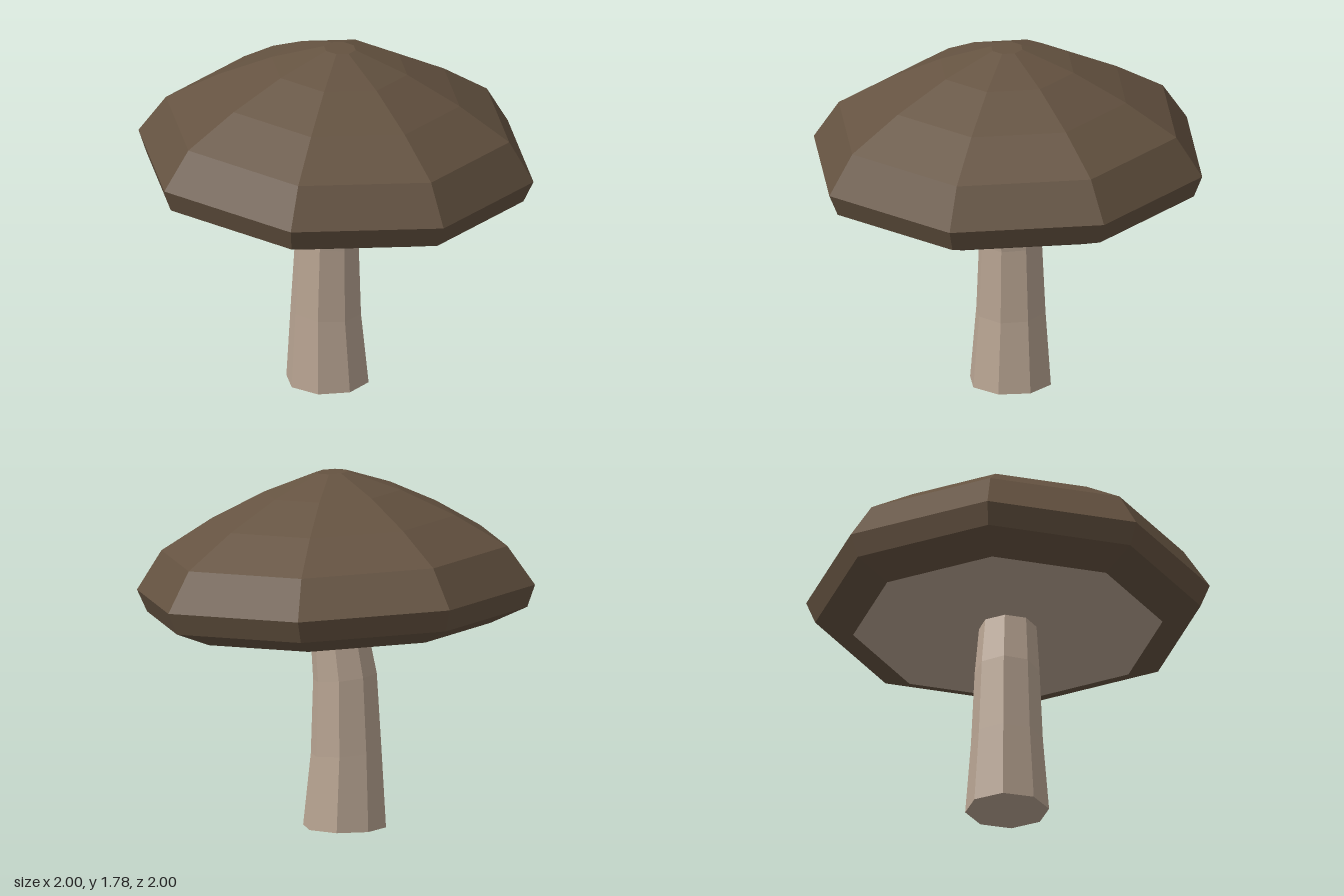
import * as THREE from 'three';

const SIDES = 8;

// Lofts octagonal rings [centreX, centreY, radius, tilt], ordered bottom to top.
function loft(rings, { bottom = false, top = false } = {}) {
  const point = ([cx, cy, r, tilt], i) => {
    const a = (i / SIDES) * Math.PI * 2;
    const x = r * Math.cos(a);
    return [cx + x * Math.cos(tilt), cy - x * Math.sin(tilt), r * Math.sin(a)];
  };
  const pos = [];
  const tri = (a, b, c) => pos.push(...a, ...b, ...c);
  for (let k = 0; k < rings.length - 1; k++) {
    for (let i = 0; i < SIDES; i++) {
      const a = point(rings[k], i), b = point(rings[k], i + 1);
      const c = point(rings[k + 1], i + 1), d = point(rings[k + 1], i);
      tri(a, d, c);
      tri(a, c, b);
    }
  }
  const first = rings[0], last = rings[rings.length - 1];
  for (let i = 0; i < SIDES; i++) {
    if (bottom) tri([first[0], first[1], 0], point(first, i), point(first, i + 1));
    if (top) tri([last[0], last[1], 0], point(last, i + 1), point(last, i));
  }
  const g = new THREE.BufferGeometry();
  g.setAttribute('position', new THREE.Float32BufferAttribute(pos, 3));
  g.computeVertexNormals(); // unshared corners give faceted normals
  return g;
}

export function createModel() {
  const group = new THREE.Group();
  group.name = 'mushroom';

  const capBrown = new THREE.MeshStandardMaterial({ color: 0x655341 });
  capBrown.name = 'capBrown';
  const stemBeige = new THREE.MeshStandardMaterial({ color: 0xb8a492 });
  stemBeige.name = 'stemBeige';

  const add = (name, geometry, material) => {
    const mesh = new THREE.Mesh(geometry, material);
    mesh.name = name;
    group.add(mesh);
  };

  // Bent, tapering stem, its top hidden inside the cap
  add('stem', loft([
    [-0.043, 0, 0.208, 0],
    [-0.051, 0.375, 0.178, 0.08],
    [-0.045, 0.75, 0.161, 0.12],
    [0, 1.1, 0.136, 0.05],
  ], { bottom: true, top: true }), stemBeige);

  // Leaning cap: tucked underside, rim, then dome
  const lean = 0.046;
  const underside = [-0.009, 1.007, 0.767, lean];
  add('cap', loft([
    underside,
    [-0.006, 1.085, 0.955, lean],
    [0, 1.195, 1, lean],
    [0.008, 1.39, 0.869, lean],
    [0.014, 1.547, 0.612, lean],
    [0.018, 1.678, 0.343, lean],
    [0.02, 1.773, 0.08, lean],
  ], { top: true }), capBrown);

  // Flat pale underside of the cap
  add('gills', loft([underside], { bottom: true }), stemBeige);

  return group;
}
